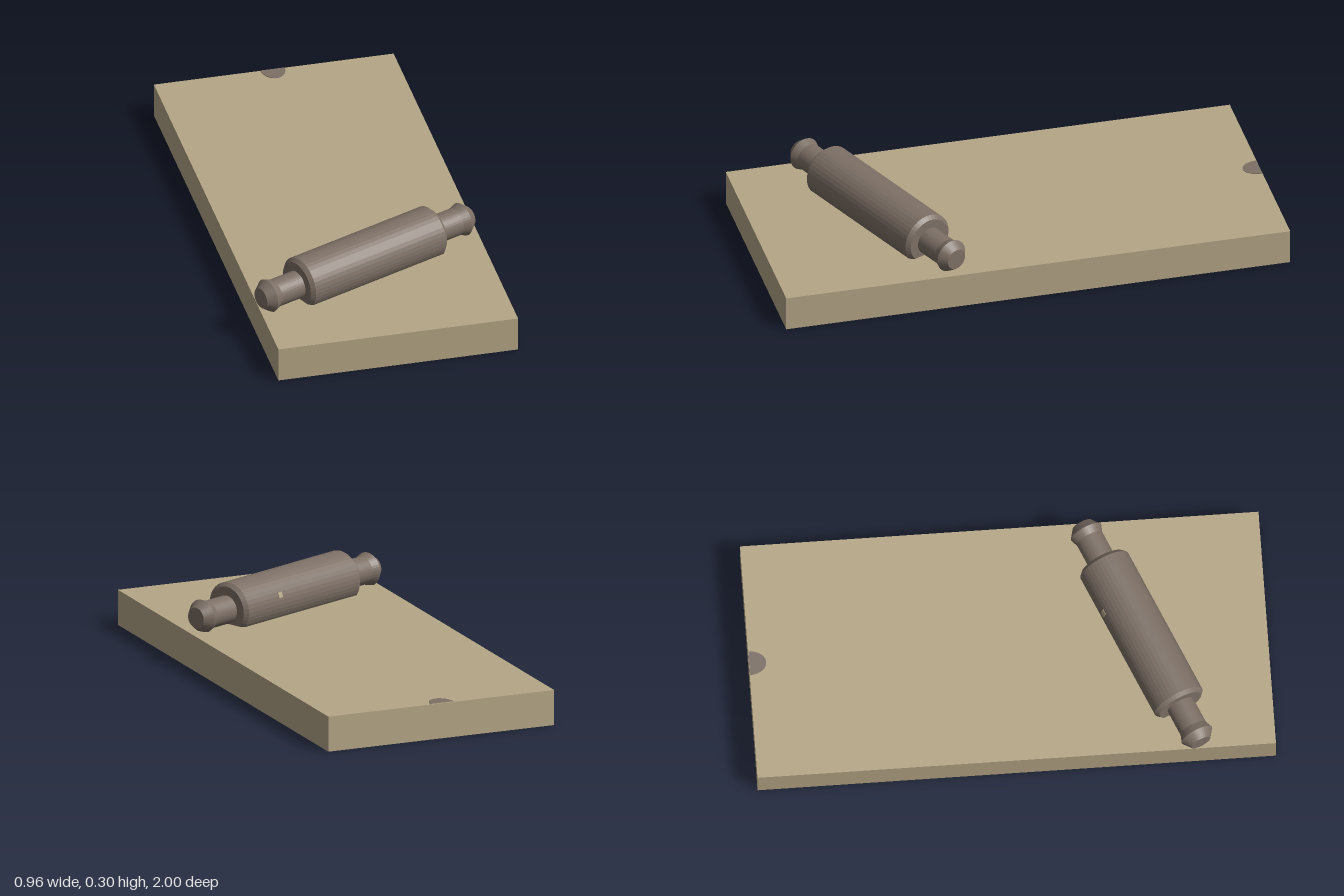
import * as THREE from 'three';

export function createModel() {
  const model = new THREE.Group();
  const boardWood = new THREE.MeshStandardMaterial({ color: 0xb5a686 });
  const pinWood = new THREE.MeshStandardMaterial({ color: 0x7d7066 });
  pinWood.flatShading = true;

  const add = (parent, name, geometry, material, x = 0, y = 0, z = 0) => {
    const mesh = new THREE.Mesh(geometry, material);
    mesh.name = name;
    mesh.position.set(x, y, z);
    parent.add(mesh);
    return mesh;
  };
  // Turned part: [radius, distance along axis] pairs
  const turned = (profile) =>
    new THREE.LatheGeometry(profile.map(([r, d]) => new THREE.Vector2(r, d)), 40);

  // Flat board
  add(model, 'board', new THREE.BoxGeometry(0.95, 0.14, 2), boardWood, 0.005, 0.07, 0);

  // Dark half-round mark at the middle of the back edge
  const mark = new THREE.CylinderGeometry(0.048, 0.048, 0.004, 20, 1, false, -Math.PI / 2, Math.PI);
  mark.scale(1, 1, 1.38);
  add(model, 'backEdgeMark', mark, pinWood, 0, 0.14, -0.999);

  // Rolling pin, lying askew and slightly sunk into the board
  const pin = new THREE.Group();
  pin.name = 'rollingPin';
  pin.position.set(-0.007, 0.197, 0.514);
  pin.rotation.y = 0.403;
  model.add(pin);

  const barrel = turned([[0, -0.328], [0.09, -0.328], [0.104, -0.313],
    [0.104, 0.313], [0.09, 0.328], [0, 0.328]]);
  add(pin, 'barrel', barrel, pinWood).rotation.z = -Math.PI / 2;

  // Handles with flared, tapered knobs
  const handle = turned([[0.055, 0.32], [0.055, 0.437], [0.066, 0.467], [0.041, 0.501], [0, 0.501]]);
  for (const side of [-1, 1]) {
    const name = side > 0 ? 'leftHandle' : 'rightHandle';
    add(pin, name, handle, pinWood).rotation.z = -side * Math.PI / 2;
  }

  // Small pale inlay on the rear of the barrel
  const tilt = 0.35;
  const inlay = add(pin, 'barrelInlay', new THREE.BoxGeometry(0.022, 0.022, 0.004), boardWood,
    0.13, 0.104 * Math.sin(tilt), -0.104 * Math.cos(tilt));
  inlay.rotation.x = tilt;

  return model;
}
